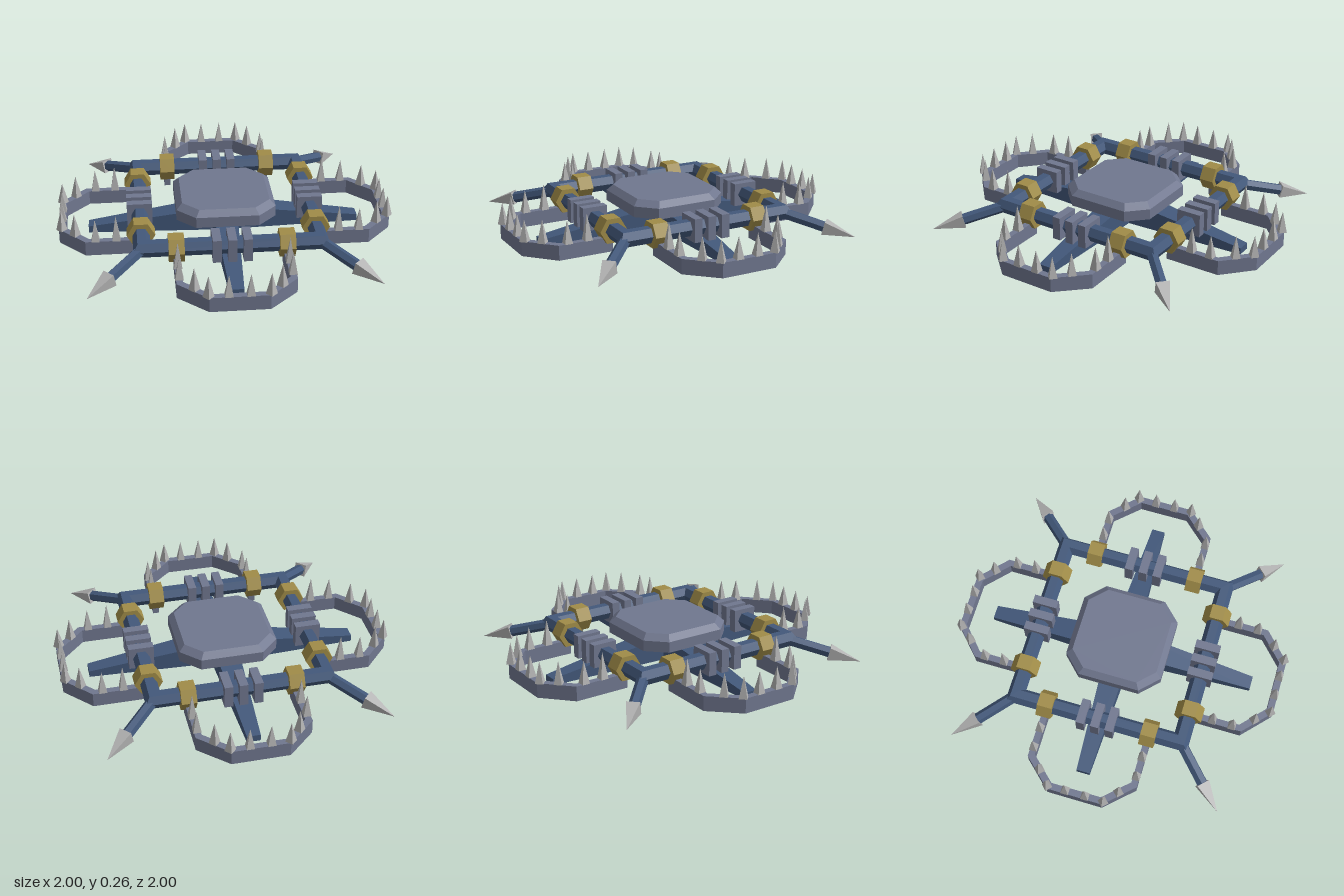
import * as THREE from 'three';

const mat = (name, color) => {
  const m = new THREE.MeshStandardMaterial({ color, flatShading: true });
  m.name = name;
  return m;
};

export function createModel() {
  const navy = mat('navy steel', 0x42587a);
  const grey = mat('grey steel', 0x70778f);
  const brass = mat('brass', 0xa08c48);
  const silver = mat('silver', 0xb2b2b2);
  const model = new THREE.Group();
  model.name = 'springTrap';

  const add = (parent, name, geo, material, x = 0, y = 0, z = 0) => {
    const m = new THREE.Mesh(geo, material);
    m.name = name;
    m.position.set(x, y, z);
    parent.add(m);
    return m;
  };
  // Applies a rule to every vertex, then rebuilds the normals
  const reshape = (geo, rule) => {
    const p = geo.attributes.position, v = new THREE.Vector3();
    for (let i = 0; i < p.count; i++) {
      rule(v.fromBufferAttribute(p, i));
      p.setXYZ(i, v.x, v.y, v.z);
    }
    geo.computeVertexNormals();
    return geo;
  };
  // Outline in x/z extruded upward from y = 0
  const slab = (pts, depth, steps = 1) => {
    const shape = new THREE.Shape(pts.map(([x, z]) => new THREE.Vector2(x, -z)));
    return new THREE.ExtrudeGeometry(shape, { depth, steps, bevelEnabled: false }).rotateX(-Math.PI / 2);
  };

  const barY = 0.145, barZ = 0.508;

  // Square frame of hexagonal bar with mitred corners
  const frame = new THREE.TorusGeometry(barZ * Math.SQRT2, 0.05 * Math.SQRT2, 6, 4);
  frame.rotateZ(Math.PI / 4).rotateX(Math.PI / 2).scale(1, Math.SQRT1_2, 1);
  add(model, 'frame', frame, navy, 0, barY, 0);

  // Pressure plate: clipped square with a sloping upper edge
  const w = 0.293, c = 0.185;
  const plate = slab([[-w, c], [-c, w], [c, w], [w, c], [w, -c], [c, -w], [-c, -w], [-w, -c]], 0.1, 2);
  reshape(plate, (v) => {
    if (v.y > 0.09) { v.x *= 0.885; v.z *= 0.885; }
    else if (v.y > 0.03) v.y = 0.065;
  });
  add(model, 'pressurePlate', plate, grey, 0, 0.14, 0);

  // Parts shared by the four sides
  const arm = reshape(new THREE.BoxGeometry(2, 1, 1), (v) => {
    const outer = v.z > 0;
    v.x = Math.sign(v.x) * (outer ? 0.04 : 0.078);
    v.y = v.y < 0 ? 0 : outer ? 0.04 : 0.155;
    v.z = outer ? 0.815 : 0;
  });
  const jaw = slab([
    [-0.333, 0.5], [-0.333, 0.83], [-0.167, 0.985], [0.167, 0.985], [0.333, 0.83], [0.333, 0.5],
    [0.295, 0.5], [0.295, 0.81], [0.15, 0.945], [-0.15, 0.945], [-0.295, 0.81], [-0.295, 0.5],
  ], 0.088);
  const hinge = new THREE.CylinderGeometry(0.082, 0.082, 0.09, 6).rotateZ(Math.PI / 2);
  const coil = new THREE.BoxGeometry(0.05, 0.14, 0.15);
  const shaft = new THREE.CylinderGeometry(0.034, 0.034, 1, 6);
  const head = new THREE.ConeGeometry(0.055, 0.19, 4);

  // Tooth positions on one half of a jaw: x, z, height, turn
  const teeth = [
    [0.314, 0.65, 0.155, Math.PI / 4], [0.314, 0.77, 0.135, Math.PI / 4],
    [0.24, 0.888, 0.135, 0], [0.17, 0.967, 0.128, 0], [0.06, 0.965, 0.128, Math.PI / 4],
  ];

  for (let i = 0; i < 4; i++) {
    const side = new THREE.Group();
    side.name = 'side' + (i + 1);
    side.rotation.y = i * Math.PI / 2;
    model.add(side);

    add(side, 'baseArm', arm, navy);
    add(side, 'jaw', jaw, grey, 0, 0.014, 0);
    for (const x of [-0.088, 0, 0.088]) add(side, 'springCoil', coil, grey, x, barY, barZ);

    for (const s of [-1, 1]) {
      add(side, 'hinge', hinge, brass, s * 0.315, barY, barZ);
      for (const [x, z, h, turn] of teeth) {
        const tooth = add(side, 'tooth', new THREE.ConeGeometry(0.033, h, 4), silver, s * x, 0.101 + h / 2, z);
        tooth.rotation.y = turn;
      }
    }

    // Spear sloping down and out from the frame corner
    const start = new THREE.Vector3(0.5, 0.145, 0.5), tip = new THREE.Vector3(0.822, 0.03, 0.822);
    const dir = tip.clone().sub(start), length = dir.length();
    dir.normalize();
    const spear = new THREE.Group();
    spear.name = 'spear';
    spear.position.copy(start);
    spear.quaternion.setFromUnitVectors(new THREE.Vector3(0, 1, 0), dir);
    side.add(spear);
    add(spear, 'spearShaft', shaft, navy, 0, (length - 0.18) / 2, 0).scale.y = length - 0.18;
    add(spear, 'spearHead', head, silver, 0, length - 0.095, 0);
  }
  return model;
}
